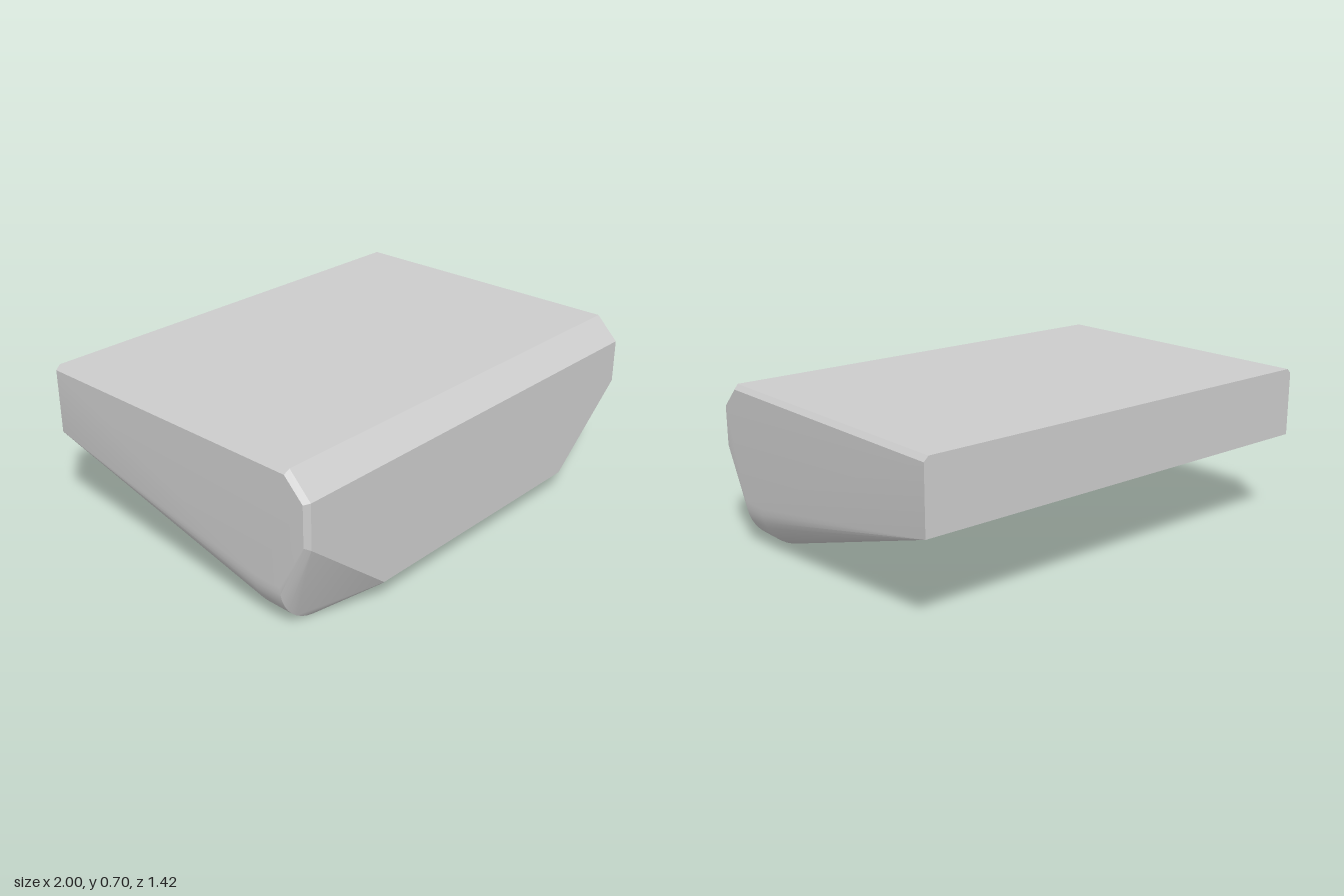
import * as THREE from 'three';
import { ConvexGeometry } from 'three/addons/geometries/ConvexGeometry.js';
import { toCreasedNormals } from 'three/addons/utils/BufferGeometryUtils.js';

export function createModel() {
  const model = new THREE.Group();
  const points = [];
  const mirrored = (x, y, z) => points.push(new THREE.Vector3(x, y, z), new THREE.Vector3(-x, y, z));

  // Square back end, with the top edge bevel
  mirrored(1, 0.4, -0.712);
  mirrored(1, 0.68, -0.712);
  mirrored(0.98, 0.7, -0.712);

  // Bevelled top front edge
  mirrored(0.98, 0.7, 0.612);
  mirrored(1, 0.68, 0.604);
  mirrored(0.98, 0.6, 0.712);
  mirrored(1, 0.593, 0.692);

  // Front face with cut lower corners and a narrow bottom lip
  mirrored(0.98, 0.41, 0.712);
  mirrored(1, 0.42, 0.692);
  mirrored(0.59, 0.09, 0.712);
  mirrored(0.58, 0.07, 0.692);

  // Rounded lower corners on either side of the flat bottom strip
  const steps = 10, radius = 0.2;
  for (const z of [0.435, 0.567]) {
    for (let i = 0; i <= steps; i++) {
      const a = (i / steps) * Math.PI / 2;
      mirrored(1 - radius + radius * Math.cos(a), radius - radius * Math.sin(a), z);
    }
  }

  const body = new THREE.Mesh(
    toCreasedNormals(new ConvexGeometry(points), 0.28),
    new THREE.MeshStandardMaterial({ color: 0xcccccc })
  );
  body.name = 'wedgeBody';
  model.add(body);
  return model;
}
